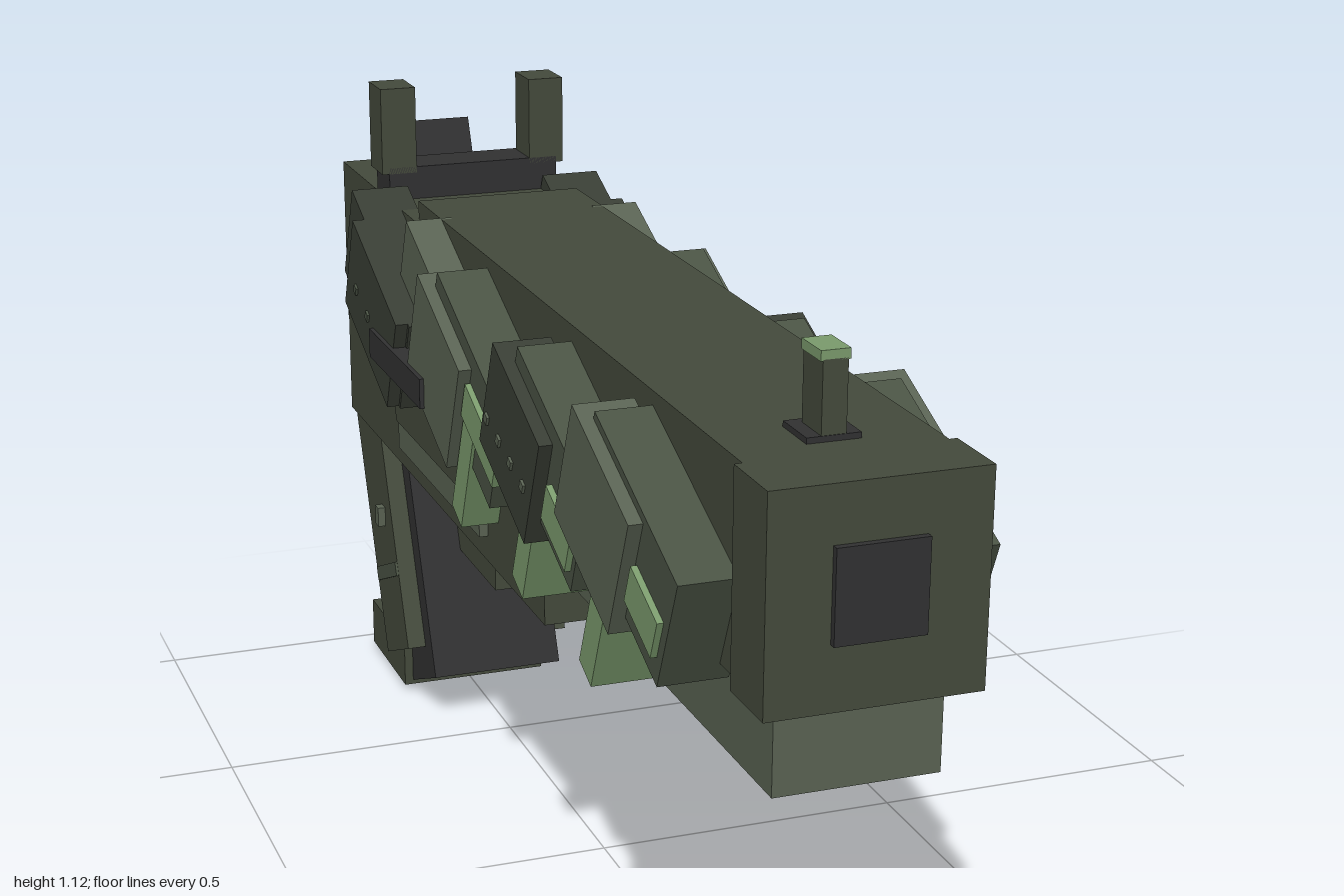
import * as THREE from 'three';

const mat = (name, color) => {
  const m = new THREE.MeshStandardMaterial({ color });
  m.name = name;
  return m;
};

export function createModel() {
  const root = new THREE.Group();
  root.name = 'blockPistol';
  const olive = mat('olive', 0x444a3c);
  const black = mat('charcoal', 0x313132);
  const sage = mat('sage', 0x5a6353);
  const moss = mat('moss', 0x4a5344);
  const darkOlive = mat('darkOlive', 0x393e35);
  const green = mat('leafGreen', 0x7b9b6d);
  const TILT = 0.405;

  // Box given by its extents on each axis
  const block = (name, m, x0, x1, y0, y1, z0, z1) => {
    const mesh = new THREE.Mesh(new THREE.BoxGeometry(x1 - x0, y1 - y0, z1 - z0), m);
    mesh.position.set((x0 + x1) / 2, (y0 + y1) / 2, (z0 + z1) / 2);
    mesh.name = name;
    root.add(mesh);
    return mesh;
  };
  // Box centred on a point in the side plane and turned about x
  const tilted = (name, m, x0, x1, y, z, h, d, angle = TILT) => {
    const mesh = block(name, m, x0, x1, y - h / 2, y + h / 2, z - d / 2, z + d / 2);
    mesh.rotation.x = angle;
    return mesh;
  };
  // The same box on both sides of the body
  const pair = (make, name, m, x0, x1, ...rest) => {
    make(name + 'Left', m, x0, x1, ...rest);
    make(name + 'Right', m, -x1, -x0, ...rest);
  };

  // Slide, muzzle and receiver
  block('slide', olive, -0.137, 0.137, 0.68, 0.965, -0.53, 0.9);
  block('muzzleBlock', olive, -0.148, 0.148, 0.67, 0.965, 0.885, 0.99);
  block('muzzle', black, -0.062, 0.062, 0.76, 0.887, 0.95, 1.0);
  block('underBarrel', sage, -0.115, 0.115, 0.545, 0.69, 0.15, 0.945);
  block('frame', olive, -0.163, 0.163, 0.495, 0.69, -0.92, 0.2);
  block('rearFrame', olive, -0.163, 0.163, 0.68, 0.775, -0.92, -0.5);
  block('rearBlock', olive, -0.148, 0.148, 0.65, 0.935, -0.985, -0.52);

  // Sights and hammer
  block('frontSightBase', black, -0.037, 0.037, 0.96, 0.973, 0.772, 0.846);
  block('frontSightPost', olive, -0.017, 0.017, 0.97, 1.07, 0.785, 0.845);
  block('frontSightTip', green, -0.02, 0.02, 1.068, 1.082, 0.785, 0.845);
  block('rearSightBase', black, -0.148, 0.148, 0.93, 0.99, -0.75, -0.668);
  pair(block, 'rearSightPost', olive, 0.1, 0.16, 0.98, 1.125, -0.743, -0.668);
  tilted('hammer', black, -0.052, 0.052, 0.925, -0.888, 0.17, 0.11, -TILT);

  // Grip
  tilted('gripCore', black, -0.115, 0.115, 0.324, -0.783, 0.594, 0.213, -TILT);
  tilted('gripPanel', olive, -0.147, 0.147, 0.305, -0.79, 0.45, 0.155, -TILT);
  block('gripBase', olive, -0.13, 0.13, 0.02, 0.105, -0.94, -0.72);
  pair(block, 'gripButton', sage, 0.14, 0.16, 0.315, 0.35, -0.785, -0.765);
  pair(tilted, 'gripStripe', moss, 0.14, 0.151, 0.233, -0.752, 0.025, 0.14, -TILT);

  // Trigger guard
  block('triggerGuardBar', olive, -0.04, 0.04, 0.295, 0.35, -0.72, -0.445);
  tilted('triggerGuardStrut', olive, -0.04, 0.04, 0.42, -0.462, 0.22, 0.042, TILT);

  // Side panel with studs, lower strip and lever
  pair(block, 'sidePanel', olive, 0.12, 0.18, 0.585, 0.88, -0.55, -0.1);
  pair(block, 'sideStrip', sage, 0.12, 0.177, 0.537, 0.587, -0.545, -0.08);
  pair(block, 'sideLever', black, 0.17, 0.244, 0.727, 0.775, -0.465, -0.165);
  for (let i = 0; i < 5; i++) {
    const z = -0.13 - i * 0.087;
    pair(block, 'panelStud', green, 0.175, 0.185, 0.67, 0.69, z - 0.011, z + 0.011);
  }

  // Overlapping tilted scales: y, z, height, length of the inner and outer layer
  const scales = [
    [moss, sage, [0.8, 0.695, 0.175, 0.33], [0.813, 0.615, 0.19, 0.235]],
    [moss, darkOlive, [0.8, 0.365, 0.17, 0.32], [0.807, 0.267, 0.18, 0.225]],
    [moss, sage, [0.8, -0.02, 0.17, 0.35], [0.802, -0.118, 0.19, 0.235]],
    [darkOlive, darkOlive, [0.81, -0.52, 0.17, 0.37], [0.795, -0.485, 0.17, 0.28]],
  ];
  for (const [innerMat, outerMat, inner, outer] of scales) {
    pair(tilted, 'innerScale', innerMat, 0.12, 0.217, ...inner);
    pair(tilted, 'outerScale', outerMat, 0.15, 0.237, ...outer);
  }
  pair(tilted, 'smallScale', sage, 0.12, 0.195, 0.872, -0.33, 0.12, 0.2);

  // Rows of studs on the darker scales
  for (let i = 0; i < 4; i++) {
    pair(tilted, 'scaleStud', sage, 0.235, 0.241, 0.765 + i * 0.016, 0.335 - i * 0.055, 0.014, 0.014);
    if (i < 3) pair(tilted, 'rearScaleStud', moss, 0.235, 0.241, 0.76 + i * 0.027, -0.425 - i * 0.07, 0.014, 0.014);
  }

  // Green inserts and hanging teeth
  for (const [y, z, d] of [[0.743, 0.775, 0.105], [0.738, 0.44, 0.11], [0.76, 0.085, 0.165]])
    pair(tilted, 'greenInsert', green, 0.16, 0.226, y, z, 0.06, d);
  for (const [y, z] of [[0.675, 0.597], [0.69, 0.3], [0.694, -0.003]])
    pair(tilted, 'tooth', green, 0.11, 0.222, y, z, 0.23, 0.052);

  return root;
}
